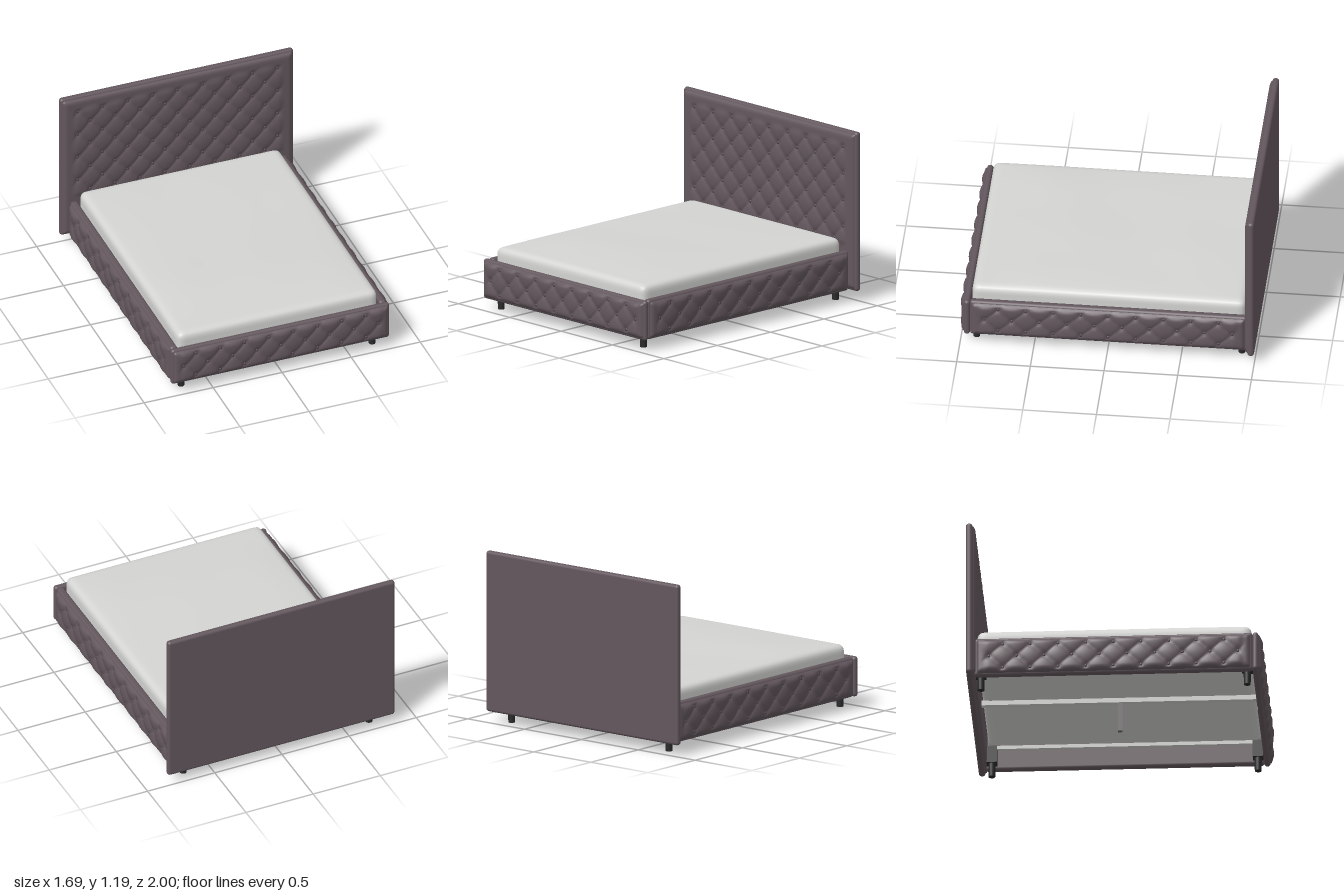
import * as THREE from 'three';
import { mergeGeometries, mergeVertices } from 'three/addons/utils/BufferGeometryUtils.js';
import { RoundedBoxGeometry } from 'three/addons/geometries/RoundedBoxGeometry.js';

const mat = (name, color) => {
  const m = new THREE.MeshStandardMaterial({ color });
  m.name = name;
  return m;
};
const smooth = THREE.MathUtils.smoothstep;

export function createModel() {
  const fabric = mat('mauve upholstery', 0x63575d);
  const buttonFabric = mat('button fabric', 0x51464c);
  const linen = mat('mattress linen', 0xd4d4d2);
  const black = mat('black plastic', 0x2a2a2c);
  const metal = mat('pale metal', 0xcfcfcd);
  const post = mat('grey post', 0x6c666a);

  const bed = new THREE.Group();
  bed.name = 'bed';

  const add = (parent, name, geometry, material, x = 0, y = 0, z = 0) => {
    const m = new THREE.Mesh(geometry, material);
    m.name = name;
    m.position.set(x, y, z);
    parent.add(m);
    return m;
  };
  const box = (name, material, w, h, d, x, y, z) =>
    add(bed, name, new THREE.BoxGeometry(w, h, d), material, x, y, z);

  // Padded panel facing +z: rounded back body plus a diamond-tufted front with buttons.
  // sx, sy: button column and row spacing; (u0, v0): one button; U: half-width of the button field.
  function tuftedPanel(name, { w, h, thick, sx, sy, u0, v0, U, rows }) {
    const g = new THREE.Group();
    g.name = name;
    add(g, name + 'Body', new RoundedBoxGeometry(w, h, thick, 4, 0.02), fabric, 0, 0, -thick / 2);

    const spots = [];
    for (let j = rows[0]; j <= rows[1]; j++) {
      for (let i = -8; i <= 8; i++) {
        const u = u0 + (i + Math.abs(j % 2) / 2) * sx;
        if (Math.abs(u) <= U + 0.005) spots.push([u, v0 + j * sy]);
      }
    }
    const vLow = v0 + rows[0] * sy, vHigh = v0 + rows[1] * sy;

    const inset = 0.012, fw = w - 2 * inset, fh = h - 2 * inset;
    const front = new THREE.PlaneGeometry(fw, fh, Math.round(fw / 0.0115), Math.round(fh / 0.0115));
    const pos = front.attributes.position;
    for (let k = 0; k < pos.count; k++) {
      const u = pos.getX(k), v = pos.getY(k);
      const p = (v - v0) / (2 * sy) + (u - u0) / sx;
      const q = (v - v0) / (2 * sy) - (u - u0) / sx;
      const pillow = Math.pow(Math.abs(Math.sin(Math.PI * p) * Math.sin(Math.PI * q)), 0.45);
      const away = Math.hypot(Math.max(Math.abs(u) - U, 0), Math.max(vLow - v, v - vHigh, 0));
      const field = 1 - smooth(away, 0, 0.05);
      let z = THREE.MathUtils.lerp(0.018, 0.012 + 0.015 * pillow, field);
      for (const [a, b] of spots) {
        const r2 = (u - a) ** 2 + (v - b) ** 2;
        if (r2 < 0.004) z -= 0.009 * Math.exp(-r2 / 0.0004);
      }
      const edge = Math.min(fw / 2 - Math.abs(u), fh / 2 - Math.abs(v));
      const t = 1 - Math.min(Math.max(edge, 0) / 0.03, 1);
      pos.setZ(k, z * Math.sqrt(1 - t * t) - 0.006 * t);
    }
    front.computeVertexNormals();
    add(g, name + 'Tufting', front, fabric);

    const buttons = spots.map(([a, b]) =>
      new THREE.SphereGeometry(0.011, 10, 6).scale(1, 1, 0.6).translate(a, b, 0.007));
    add(g, name + 'Buttons', mergeGeometries(buttons), buttonFabric);
    bed.add(g);
    return g;
  }

  // Headboard
  tuftedPanel('headboard', {
    w: 1.69, h: 1.11, thick: 0.045, sx: 0.181, sy: 0.0925,
    u0: 0, v0: 0.513 - 0.63, U: 0.725, rows: [-1, 6],
  }).position.set(0, 0.63, -0.955);

  // Footboard
  tuftedPanel('footboard', {
    w: 1.58, h: 0.277, thick: 0.042, sx: 0.176, sy: 0.087,
    u0: 0, v0: 0, U: 0.704, rows: [-1, 1],
  }).position.set(0, 0.2135, 0.975);

  // Side rails
  for (const s of [-1, 1]) {
    const rail = tuftedPanel(s > 0 ? 'leftRail' : 'rightRail', {
      w: 1.88, h: 0.277, thick: 0.052, sx: 0.187, sy: 0.086,
      u0: 0.0935, v0: 0, U: 0.845, rows: [-1, 1],
    });
    rail.rotation.y = s * Math.PI / 2;
    rail.position.set(s * 0.782, 0.2135, -0.006);
  }

  // Mattress: box with rounded edges and a gently crowned, rumpled top
  const mw = 1.45, mh = 0.195, md = 1.855, r = 0.045;
  let soft = new THREE.BoxGeometry(mw, mh, md, 64, 10, 80);
  soft.deleteAttribute('uv');
  soft.deleteAttribute('normal');
  soft = mergeVertices(soft);
  const mp = soft.attributes.position;
  const half = new THREE.Vector3(mw / 2 - r, mh / 2 - r, md / 2 - r);
  const low = half.clone().negate();
  const v = new THREE.Vector3(), core = new THREE.Vector3();
  for (let k = 0; k < mp.count; k++) {
    v.fromBufferAttribute(mp, k);
    core.copy(v).clamp(low, half);
    v.sub(core).setLength(r).add(core);
    if (v.y > 0) {
      const inner = (1 - (2 * v.x / mw) ** 4) * (1 - (2 * v.z / md) ** 4);
      const crown = 0.012 + 0.01 * Math.exp(-(((v.z - 0.5) / 0.35) ** 2));
      const rumple = 0.0025 * Math.sin(7 * v.x + 5 * v.z) * Math.sin(4 * v.z - 3 * v.x + 1);
      v.y += (v.y / (mh / 2)) * inner * (crown + rumple);
    }
    mp.setXYZ(k, v.x, v.y, v.z);
  }
  soft.computeVertexNormals();
  add(bed, 'mattress', soft, linen, 0, 0.24 + mh / 2, -0.003);

  // Centre support beam with end brackets and post
  box('centreBeam', metal, 0.04, 0.035, 1.87, 0, 0.225, -0.01);
  box('centrePost', post, 0.03, 0.21, 0.03, 0, 0.105, 0);
  for (const [z, s] of [[0.929, -1], [-0.951, 1]]) {
    box('beamBracket', metal, 0.05, 0.12, 0.008, 0, 0.185, z);
    for (const y of [0.145, 0.175, 0.205]) {
      box('bracketHole', black, 0.014, 0.012, 0.004, 0, y, z + s * 0.004);
    }
  }

  // Ledges, corner brackets and feet
  for (const s of [-1, 1]) {
    box('railLedge', metal, 0.03, 0.025, 1.82, s * 0.717, 0.228, -0.01);
    for (const z of [0.895, -0.905]) {
      box('cornerBracket', black, 0.075, 0.12, 0.07, s * 0.692, 0.16, z);
      add(bed, 'foot', new THREE.CylinderGeometry(0.025, 0.023, 0.11, 20), black, s * 0.692, 0.06, z);
    }
  }

  return bed;
}
